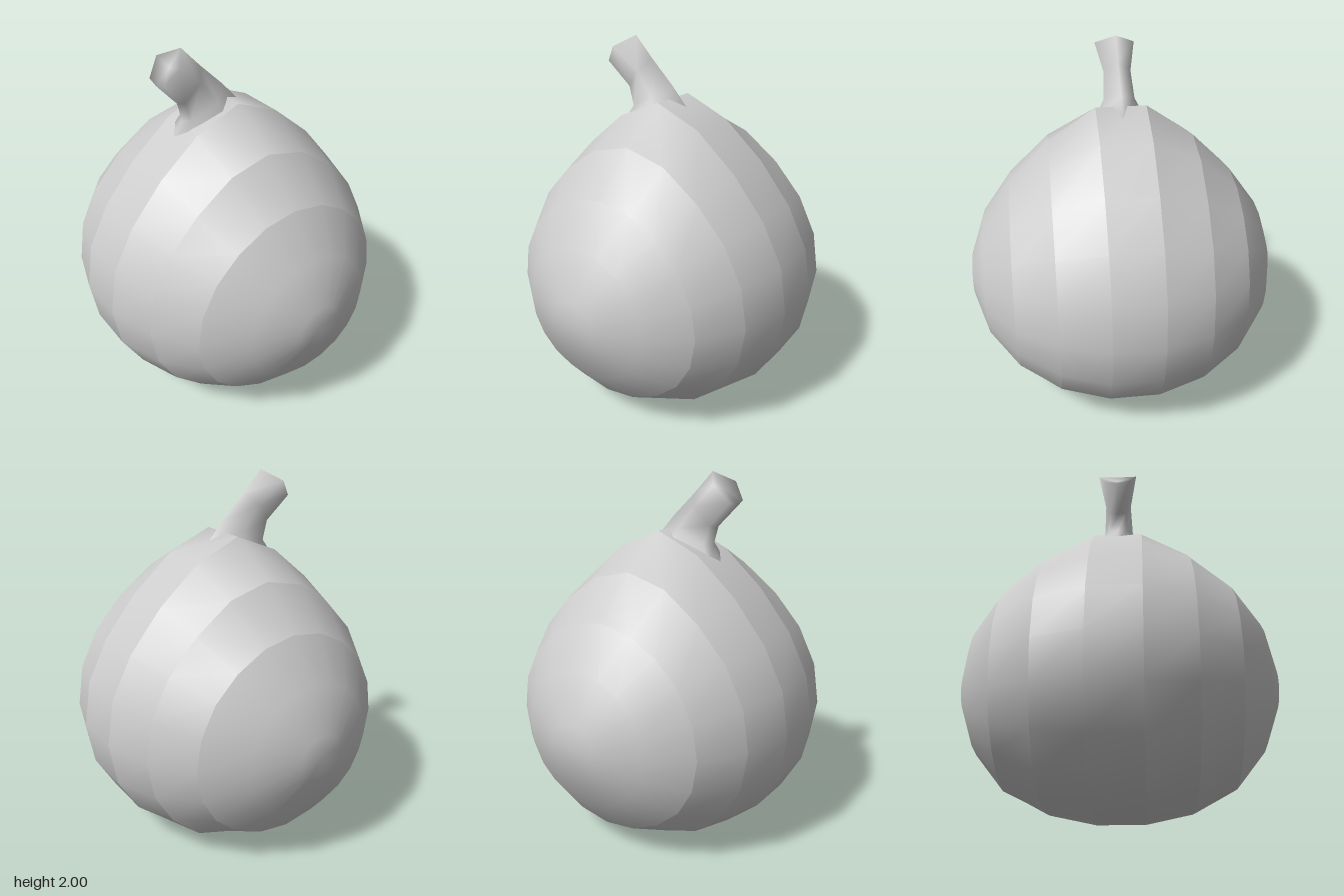
import * as THREE from 'three';
import { mergeVertices } from 'three/addons/utils/BufferGeometryUtils.js';

const material = new THREE.MeshStandardMaterial({ color: 0xcccccc });

// Height on a plain sphere -> height on the fruit (flattened base, pointed crown)
const heights = [
  [-0.82, 0], [-0.789, 0.01], [-0.74, 0.04], [-0.67, 0.09], [-0.587, 0.15],
  [-0.487, 0.25], [-0.253, 0.46], [0, 0.7], [0.253, 0.95], [0.487, 1.18],
  [0.587, 1.29], [0.67, 1.4], [0.74, 1.51], [0.789, 1.6], [0.82, 1.69],
];

function fruitHeight(y) {
  let i = 1;
  while (i < heights.length - 1 && y > heights[i][0]) i++;
  const [y0, h0] = heights[i - 1], [y1, h1] = heights[i];
  return h0 + (h1 - h0) * THREE.MathUtils.clamp((y - y0) / (y1 - y0), 0, 1);
}

// One band of the body: a lathe around z with its heights remapped
function bodyBand(profile) {
  let geo = new THREE.LatheGeometry(profile, 20).rotateX(Math.PI / 2);
  const p = geo.attributes.position;
  for (let i = 0; i < p.count; i++) p.setY(i, fruitHeight(p.getY(i)));
  geo.deleteAttribute('normal');
  geo.deleteAttribute('uv');
  geo = mergeVertices(geo, 1e-4);
  geo.computeVertexNormals();
  return geo;
}

// Stem rings: lower edge (x, y), upper edge (x, y), half width in z
const stemRings = [
  [-0.34, 1.49, 0.09, 1.65, 0.15],
  [-0.26, 1.61, 0.0, 1.75, 0.088],
  [-0.28, 1.71, -0.14, 1.885, 0.078],
  [-0.40, 1.84, -0.25, 2.0, 0.115],
];

function stemGeometry() {
  const angles = [0, 72, 144, 180, 216, 288].map(THREE.MathUtils.degToRad);
  const n = angles.length, last = stemRings.length - 1;
  const pos = [], index = [];
  stemRings.forEach(([x0, y0, x1, y1, w], r) => {
    for (const a of angles) {
      const t = (1 + Math.cos(a)) / 2;
      const bulge = r === last ? 0.025 * Math.sin(a) ** 2 : 0;
      pos.push(x0 + (x1 - x0) * t - bulge, y0 + (y1 - y0) * t, w * Math.sin(a));
    }
  });
  for (let r = 0; r < last; r++) {
    for (let i = 0; i < n; i++) {
      const a = r * n + i, b = r * n + (i + 1) % n;
      index.push(a, a + n, b, b, a + n, b + n);
    }
  }
  // Slightly dished cut end
  const centre = pos.length / 3;
  pos.push(-0.32, 1.915, 0);
  for (let i = 0; i < n; i++) index.push(centre, last * n + (i + 1) % n, last * n + i);
  const geo = new THREE.BufferGeometry();
  geo.setAttribute('position', new THREE.Float32BufferAttribute(pos, 3));
  geo.setIndex(index);
  geo.computeVertexNormals();
  return geo;
}

export function createModel() {
  const model = new THREE.Group();

  // Body: rings every 18 degrees along z, closed by small flat ends
  const rings = [new THREE.Vector2(0, -0.865)];
  for (let deg = -81; deg <= 81; deg += 18) {
    const a = THREE.MathUtils.degToRad(deg);
    rings.push(new THREE.Vector2(0.83 * Math.cos(a), 0.875 * Math.sin(a)));
  }
  rings.push(new THREE.Vector2(0, 0.865));

  // Smooth end domes with creased bands between them
  const body = new THREE.Group();
  body.name = 'body';
  for (const [from, to] of [[0, 3], [3, 4], [4, 5], [5, 6], [6, 7], [7, 8], [8, 11]]) {
    const band = new THREE.Mesh(bodyBand(rings.slice(from, to + 1)), material);
    band.name = 'bodyBand';
    body.add(band);
  }
  model.add(body);

  // Leaning stem that flares at the crown and at its cut end
  const stem = new THREE.Mesh(stemGeometry(), material);
  stem.name = 'stem';
  model.add(stem);

  return model;
}
